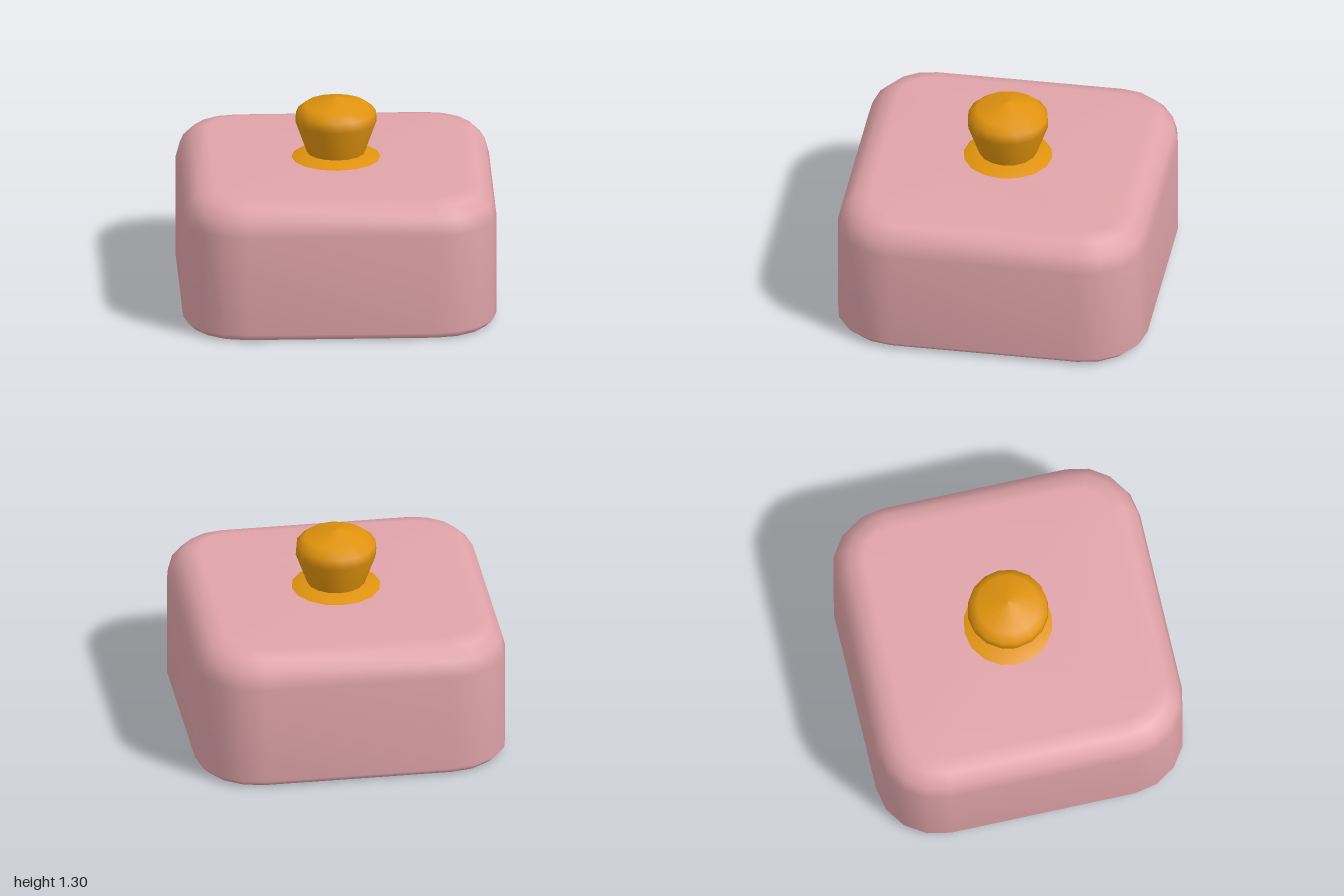
import * as THREE from 'three';

const CORNER = 0.4;      // plan corner radius
const CORNER_STEPS = 4;  // facets per corner

// One rounded-square ring, inset from the outer wall, at height y
function ring(inset, y) {
  const r = CORNER - inset, c = 1 - CORNER, points = [];
  for (let q = 0; q < 4; q++) {
    const mid = (q + 0.5) * Math.PI / 2;
    const cx = c * Math.sign(Math.cos(mid)), cz = c * Math.sign(Math.sin(mid));
    for (let s = 0; s <= CORNER_STEPS; s++) {
      const a = (q + s / CORNER_STEPS) * Math.PI / 2;
      points.push(cx + r * Math.cos(a), y, cz + r * Math.sin(a));
    }
  }
  return points;
}

// Closed-top shell: skin the rings from the crown, round the rim, up to the ceiling
function shellGeometry(profile) {
  const n = 4 * (CORNER_STEPS + 1), positions = [], index = [];
  profile.forEach(([inset, y]) => positions.push(...ring(inset, y)));
  for (let i = 0; i < profile.length - 1; i++) {
    for (let j = 0; j < n; j++) {
      const k = (j + 1) % n;
      const a = i * n + j, b = i * n + k;
      index.push(a, b, a + n, b, b + n, a + n);
    }
  }
  const last = (profile.length - 1) * n, top = profile.length * n;
  positions.push(0, profile[0][1], 0, 0, profile[profile.length - 1][1], 0);
  for (let j = 0; j < n; j++) {
    const k = (j + 1) % n;
    index.push(top, k, j, top + 1, last + j, last + k);
  }
  const g = new THREE.BufferGeometry();
  g.setAttribute('position', new THREE.Float32BufferAttribute(positions, 3));
  g.setIndex(index);
  g.computeVertexNormals();
  return g;
}

export function createModel() {
  const pink = new THREE.MeshStandardMaterial({ color: 0xe0a4a9 });
  pink.name = 'pink glaze';
  const amber = new THREE.MeshStandardMaterial({ color: 0xe0930e });
  amber.name = 'amber';

  const model = new THREE.Group();
  model.name = 'squareLid';
  const add = (name, geometry, material) => {
    const mesh = new THREE.Mesh(geometry, material);
    mesh.name = name;
    model.add(mesh);
  };
  const lathe = (points) =>
    new THREE.LatheGeometry(points.map(([r, y]) => new THREE.Vector2(r, y)), 16);

  // Hollow cover, open underneath, as [inset, height]
  add('cover', shellGeometry([
    [0.2, 0.9], [0.1, 0.873], [0.027, 0.8], [0, 0.7],
    [0, 0.045], [0.045, 0],
    [0.08, 0], [0.08, 0.7], [0.1, 0.76], [0.145, 0.805], [0.2, 0.82],
  ]), pink);

  // Shallow collar where the knob meets the cover
  add('knobCollar', lathe([[0.285, 0.9], [0.18, 0.937], [0, 0.937]]), amber);

  // Flared knob with a domed top
  add('knob', lathe([
    [0.185, 0.93], [0.26, 1.14], [0.255, 1.205], [0.2, 1.25], [0, 1.3],
  ]), amber);

  return model;
}
